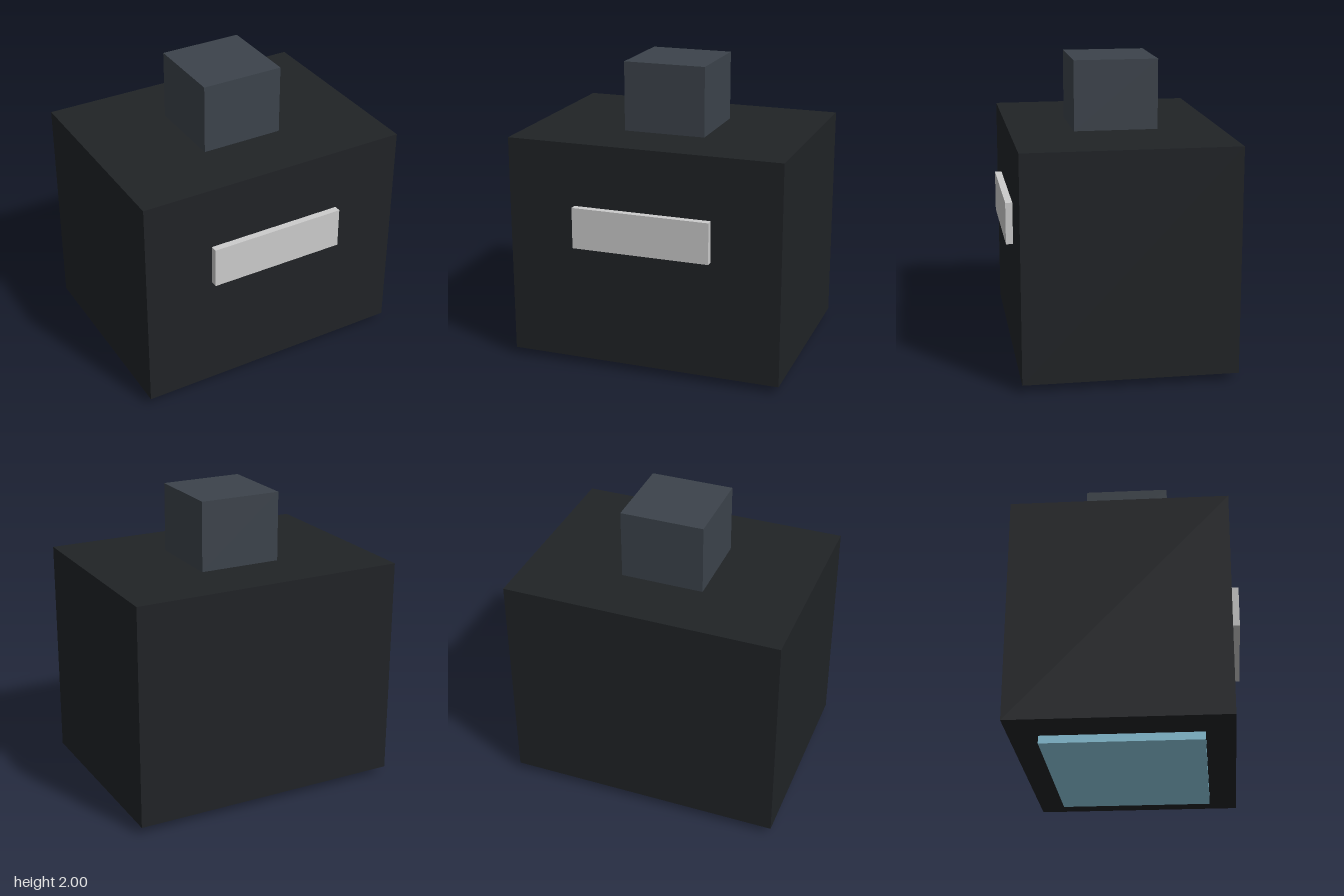
import * as THREE from 'three';

export function createModel() {
  const group = new THREE.Group();

  // Box given by its lower and upper limits on each axis
  function addBox(name, color, [x0, x1], [y0, y1], [z0, z1]) {
    const mesh = new THREE.Mesh(
      new THREE.BoxGeometry(x1 - x0, y1 - y0, z1 - z0),
      new THREE.MeshStandardMaterial({ color })
    );
    mesh.position.set((x0 + x1) / 2, (y0 + y1) / 2, (z0 + z1) / 2);
    mesh.name = name;
    group.add(mesh);
  }

  // Main housing
  addBox('body', 0x202326, [-0.928, 0.928], [0.05, 1.535], [-0.722, 0.673]);
  // Block standing on the lid
  addBox('topBlock', 0x3c434b, [-0.278, 0.278], [1.535, 2], [-0.304, 0.252]);
  // Pale plate just proud of the front face
  addBox('frontPlate', 0xcccccc, [-0.465, 0.465], [0.842, 1.118], [0.678, 0.724]);
  // Blue panel under the housing
  addBox('bottomPanel', 0x8ecae0, [-0.65, 0.65], [0, 0.05], [-0.536, 0.488]);

  return group;
}
